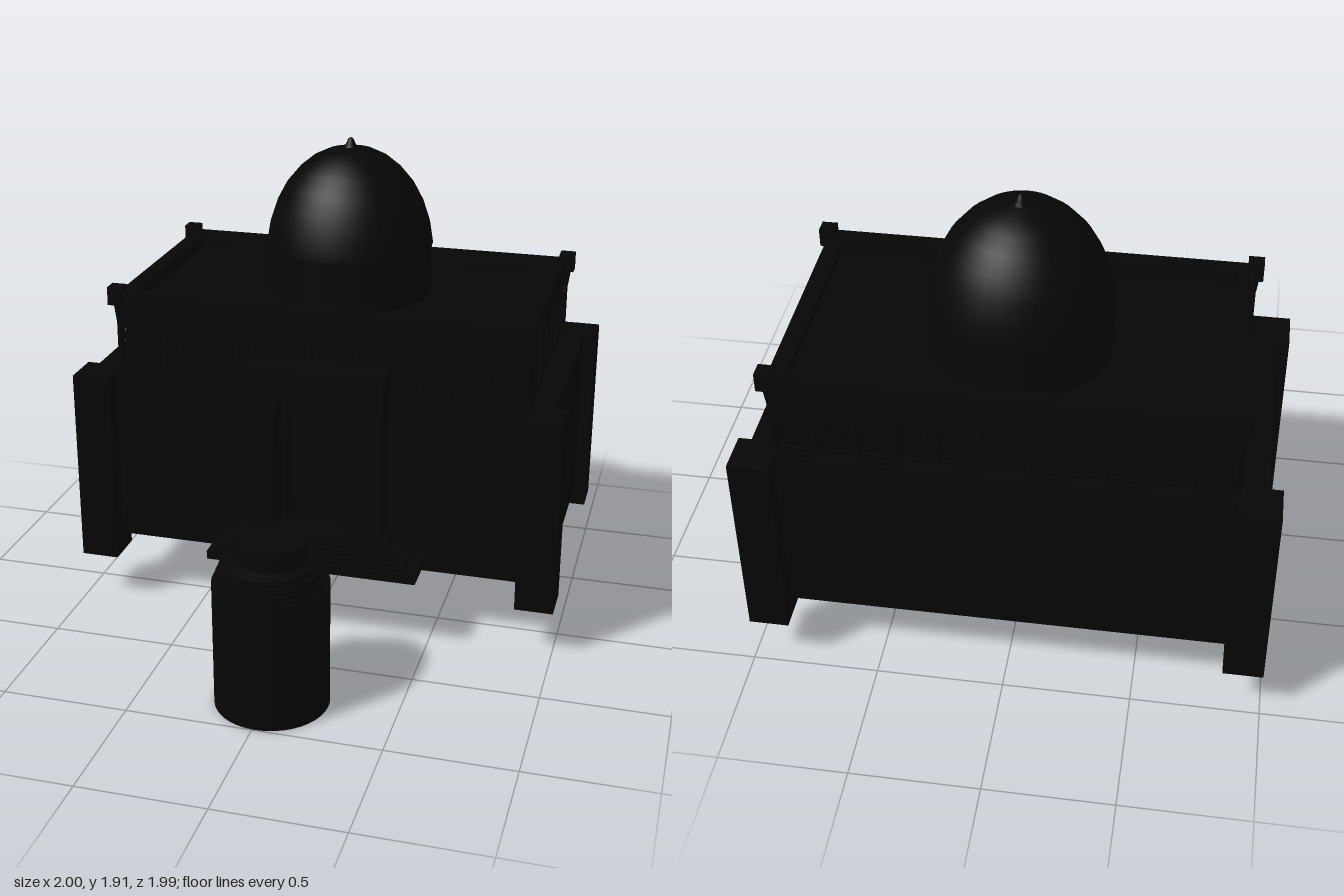
import * as THREE from 'three';

const mat = new THREE.MeshStandardMaterial({ color: 0x060606, side: THREE.DoubleSide });

function add(parent, name, geometry, x = 0, y = 0, z = 0) {
  const mesh = new THREE.Mesh(geometry, mat);
  mesh.name = name;
  mesh.position.set(x, y, z);
  parent.add(mesh);
  return mesh;
}

// Box given by its limits on each axis
function block(parent, name, x0, x1, y0, y1, z0, z1) {
  return add(parent, name, new THREE.BoxGeometry(x1 - x0, y1 - y0, z1 - z0),
    (x0 + x1) / 2, (y0 + y1) / 2, (z0 + z1) / 2);
}

function rect(target, x0, x1, y0, y1) {
  target.moveTo(x0, y0);
  target.lineTo(x1, y0);
  target.lineTo(x1, y1);
  target.lineTo(x0, y1);
  target.closePath();
  return target;
}

// Pointed arch opening: half width w, from y0, springing at ys, peak at yp
function archPath(cx, w, y0, ys, yp) {
  const p = new THREE.Path();
  p.moveTo(cx - w, y0);
  p.lineTo(cx + w, y0);
  p.lineTo(cx + w, ys);
  p.quadraticCurveTo(cx + w * 0.95, ys + (yp - ys) * 0.55, cx, yp);
  p.quadraticCurveTo(cx - w * 0.95, ys + (yp - ys) * 0.55, cx - w, ys);
  p.closePath();
  return p;
}

const extrude = (shape, depth) =>
  new THREE.ExtrudeGeometry(shape, { depth, bevelEnabled: false, curveSegments: 6 });

// Flat rectangular ring of wall thickness t, rising h
function ring(w, d, t, h) {
  const s = rect(new THREE.Shape(), -w / 2, w / 2, -d / 2, d / 2);
  s.holes.push(rect(new THREE.Path(), -w / 2 + t, w / 2 - t, -d / 2 + t, d / 2 - t));
  return extrude(s, h).rotateX(-Math.PI / 2);
}

// One side of the upper storey: shallow arches in front, paired windows behind
function arcade(width, bays) {
  const g = new THREE.Group();
  g.name = 'arcadeSide';
  const step = width / bays;
  const screen = rect(new THREE.Shape(), -width / 2, width / 2, 1.01, 1.31);
  const wall = rect(new THREE.Shape(), -width / 2 + 0.016, width / 2 - 0.016, 1.0, 1.31);
  for (let i = 0; i < bays; i++) {
    const x = -width / 2 + (i + 0.5) * step;
    screen.holes.push(archPath(x, step * 0.4, 1.025, 1.19, 1.295));
    for (const side of [-1, 1]) {
      wall.holes.push(archPath(x + side * 0.02, 0.013, 1.1, 1.16, 1.185));
    }
  }
  add(g, 'archScreen', extrude(screen, 0.016), 0, 0, -0.016);
  add(g, 'windowWall', extrude(wall, 0.015), 0, 0, -0.032);
  add(g, 'windowBacking', new THREE.BoxGeometry(width - 0.066, 0.3, 0.006), 0, 1.155, -0.036);
  for (let i = 0; i <= bays; i++) {
    add(g, 'arcadeColumn', new THREE.CylinderGeometry(0.009, 0.011, 0.18, 8),
      -width / 2 + i * step, 1.1, -0.004);
  }
  return g;
}

export function createModel() {
  const model = new THREE.Group();
  model.name = 'domedHall';

  // Lower hall: hollow, open underneath
  const hall = new THREE.Group();
  hall.name = 'lowerHall';
  model.add(hall);
  block(hall, 'backWall', -0.95, 0.95, 0.28, 1.01, -0.92, -0.91);
  block(hall, 'frontWallRight', -0.95, -0.26, 0.28, 1.01, 0.11, 0.12);
  block(hall, 'frontWallLeft', 0.3, 0.95, 0.28, 1.01, 0.11, 0.12);
  for (const s of [-1, 1]) {
    block(hall, 'sideWall', s * 0.945 - 0.005, s * 0.945 + 0.005, 0.28, 1.01, -0.92, 0.12);
  }
  add(hall, 'ledge', ring(1.9, 1.04, 0.18, 0.015), 0, 0.995, -0.4);

  // Corner towers
  for (const s of [-1, 1]) {
    for (const [z0, z1] of [[-0.995, -0.835], [0.035, 0.2]]) {
      block(model, 'cornerTower', s * 0.9225 - 0.0775, s * 0.9225 + 0.0775, 0.2, 1.01, z0, z1);
    }
  }

  // Upper storey with arcades on four sides
  const upper = new THREE.Group();
  upper.name = 'upperStorey';
  upper.position.set(0.008, 0, -0.397);
  model.add(upper);
  for (let i = 0; i < 4; i++) {
    const long = i % 2 === 0;
    const side = arcade(long ? 1.68 : 0.96, long ? 11 : 6);
    const reach = long ? 0.48 : 0.84;
    side.rotation.y = i * Math.PI / 2;
    side.position.set(reach * Math.sin(side.rotation.y), 0, reach * Math.cos(side.rotation.y));
    upper.add(side);
  }
  add(upper, 'cornice', ring(1.69, 0.97, 0.065, 0.04), 0, 1.302, 0);
  add(upper, 'roof', new THREE.BoxGeometry(1.62, 0.015, 0.9), 0, 1.262, 0);

  // Corner posts with square caps
  for (const sx of [-1, 1]) {
    for (const sz of [-1, 1]) {
      const post = new THREE.Group();
      post.name = 'cornerPost';
      post.position.set(sx * 0.85, 0, sz * 0.466);
      upper.add(post);
      add(post, 'postCap', new THREE.BoxGeometry(0.062, 0.075, 0.062), 0, 1.33, 0);
      add(post, 'postDrop', new THREE.CylinderGeometry(0.018, 0.007, 0.08, 8), 0, 1.255, 0);
      add(post, 'postShaft', new THREE.CylinderGeometry(0.007, 0.007, 0.22, 8), 0, 1.11, 0);
    }
  }

  // Drum, dome and finial
  const lathe = (pts, n) => new THREE.LatheGeometry(pts.map(p => new THREE.Vector2(...p)), n);
  add(model, 'drum', new THREE.CylinderGeometry(0.34, 0.34, 0.22, 40, 1, true), 0, 1.37, -0.44);
  add(model, 'dome', lathe([[0.34, 1.48], [0.345, 1.48], [0.332, 1.56], [0.302, 1.65],
    [0.262, 1.725], [0.21, 1.787], [0.155, 1.832], [0.095, 1.861], [0.028, 1.875]], 40), 0, 0, -0.44);
  add(model, 'finial', lathe([[0.03, 1.872], [0.018, 1.89], [0.011, 1.908], [0, 1.915]], 16),
    0, 0, -0.44);

  // Entrance block with a nested pointed niche
  const portal = new THREE.Group();
  portal.name = 'portal';
  model.add(portal);
  const frame = rect(new THREE.Shape(), -0.26, 0.3, 0.32, 1.13);
  frame.holes.push(archPath(0.015, 0.15, 0.42, 0.97, 1.09));
  add(portal, 'outerFrame', extrude(frame, 0.12), 0, 0, 0.1);
  const inner = rect(new THREE.Shape(), -0.26, 0.3, 0.32, 1.13);
  inner.holes.push(archPath(0.015, 0.125, 0.42, 0.9, 1.0));
  add(portal, 'innerFrame', extrude(inner, 0.05), 0, 0, 0.08);
  block(portal, 'nicheBack', -0.2, 0.23, 0.36, 1.08, 0.065, 0.08);

  // Steps, narrowing upwards
  const steps = [[0.32, 0.355, 0.432, 0.325], [0.355, 0.385, 0.385, 0.3],
    [0.385, 0.41, 0.34, 0.28], [0.41, 0.44, 0.3, 0.26]];
  for (const [y0, y1, half, z1] of steps) {
    block(portal, 'step', 0.033 - half, 0.033 + half, y0, y1, 0.1, z1);
  }

  // Round stepped pedestal standing in front, one band per profile segment
  const profile = [[0, 0], [0.222, 0], [0.222, 0.515], [0.207, 0.515], [0.207, 0.55],
    [0.195, 0.55], [0.195, 0.578], [0.178, 0.578], [0.178, 0.6], [0.133, 0.61],
    [0.133, 0.688], [0, 0.688]];
  const pedestal = new THREE.Group();
  pedestal.name = 'pedestal';
  pedestal.position.set(0.012, 0, 0.775);
  profile.slice(1).forEach((p, i) => add(pedestal, 'pedestalBand', lathe([profile[i], p], 40)));
  model.add(pedestal);

  return model;
}
